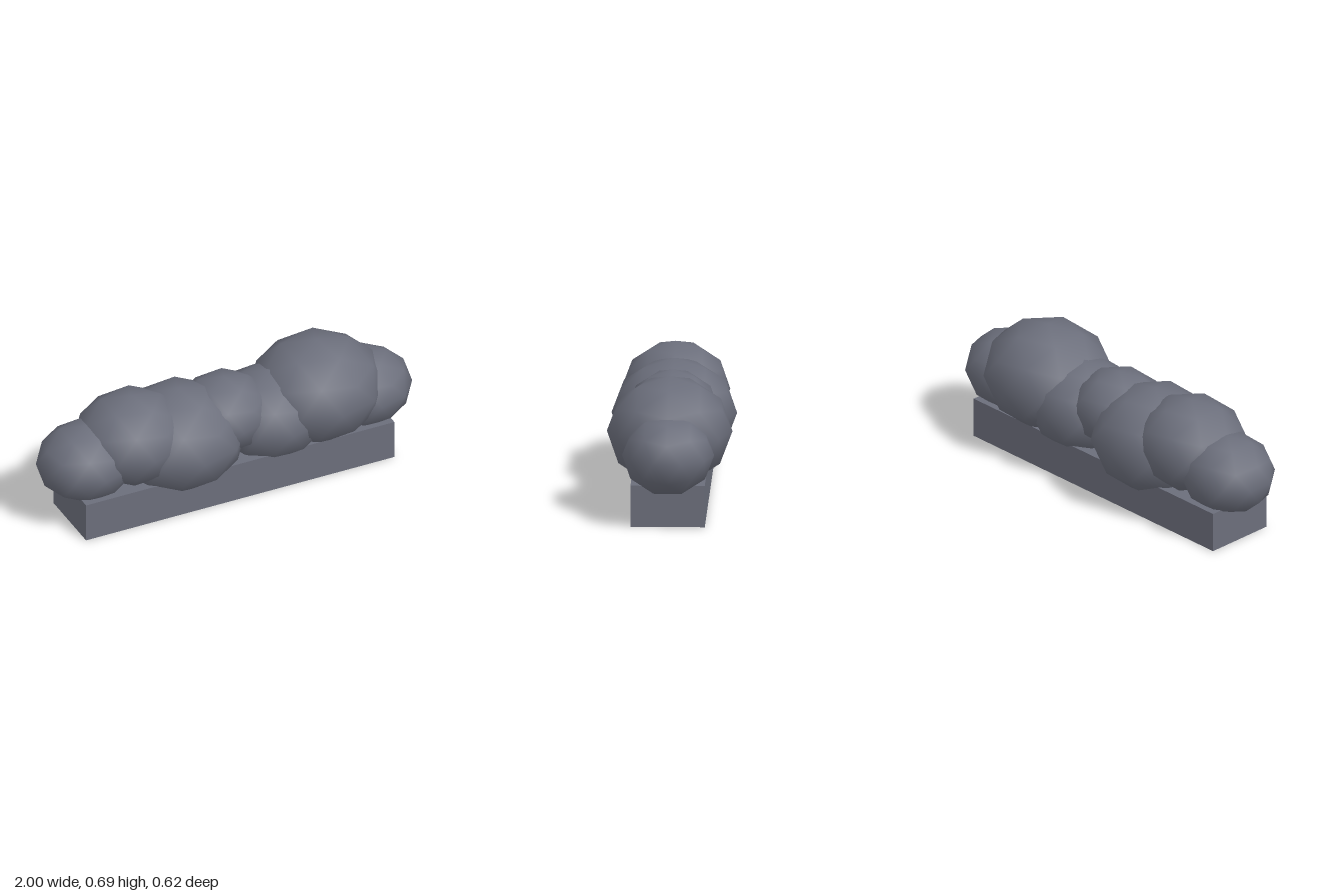
import * as THREE from 'three';

export function createModel() {
  const group = new THREE.Group();
  const slate = new THREE.MeshStandardMaterial({ color: 0x6b6e7b });
  slate.name = 'slateGrey';

  // rectangular plinth
  const base = new THREE.Mesh(new THREE.BoxGeometry(1.696, 0.208, 0.368), slate);
  base.name = 'base';
  base.position.y = 0.104;
  group.add(base);

  // low-poly smooth ball, turned so one corner is the top pole and the upper ring points to +x
  const ball = new THREE.IcosahedronGeometry(1, 1);
  ball.rotateZ(-Math.atan2(2, 1 + Math.sqrt(5)));

  // row of overlapping boulders: three sizes repeat, heights alternate
  const sizes = [0.228, 0.2695, 0.311];
  for (let i = 0; i < 7; i++) {
    const r = sizes[i % 3];
    const boulder = new THREE.Mesh(ball, slate);
    boulder.name = `boulder${i + 1}`;
    boulder.scale.set(r * 1.111, r * 0.889, r);
    boulder.position.set((i - 3) * 0.2533, i % 2 ? 0.414 : 0.345, 0);
    group.add(boulder);
  }
  return group;
}
